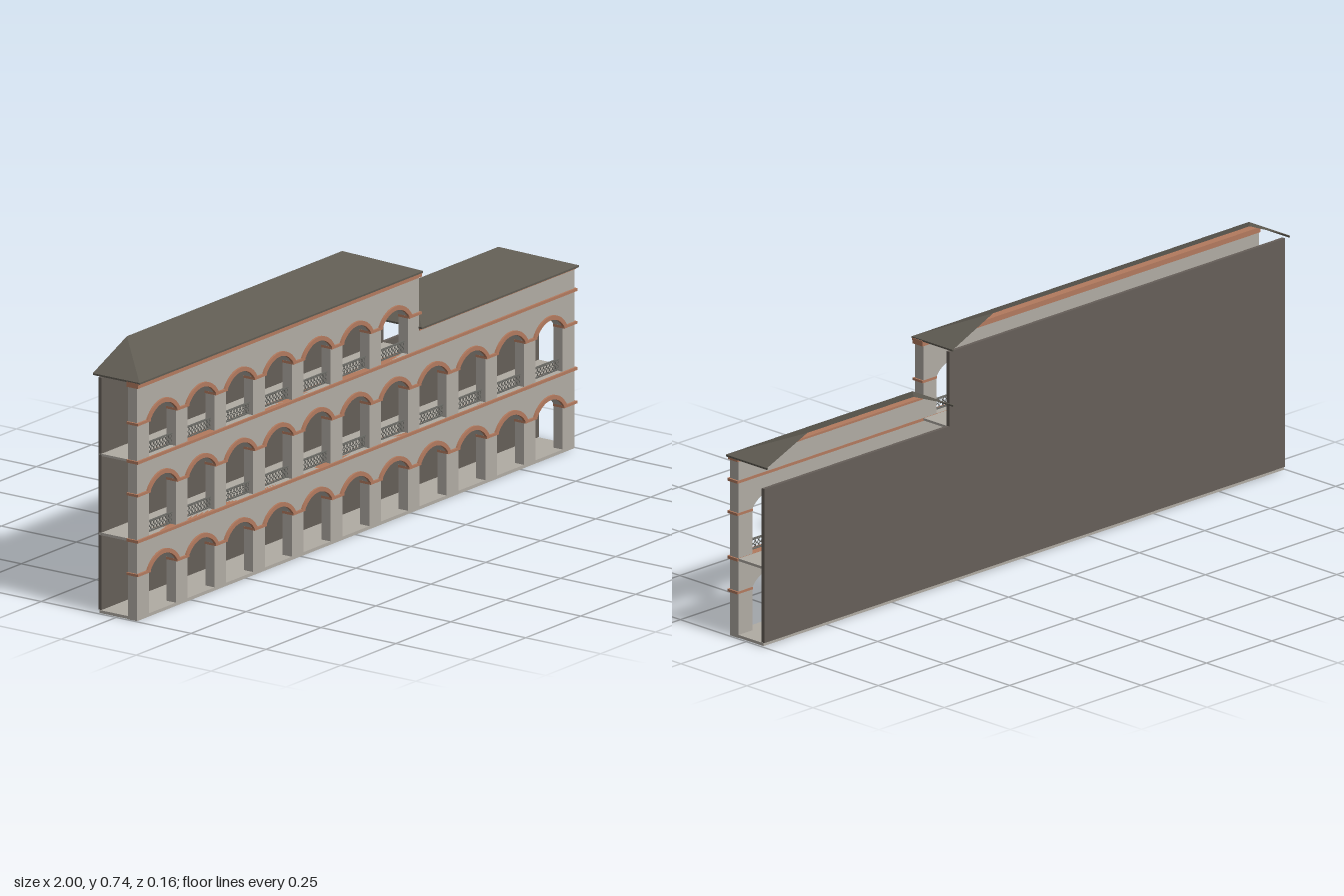
import * as THREE from 'three';
import { mergeGeometries } from 'three/addons/utils/BufferGeometryUtils.js';

const mat = (name, color, side = THREE.FrontSide) => {
  const m = new THREE.MeshStandardMaterial({ color, side });
  m.name = name;
  return m;
};

// Main dimensions
const STEP = 0.288, END = 0.995, PITCH = 0.176, HALF = 0.0615, RISE = 0.033;
const R = (HALF * HALF + RISE * RISE) / (2 * RISE);
const WALL_BACK = 0.035, WALL_FRONT = 0.066, TRIM_FRONT = 0.072;
const STOREYS = [
  { name: 'ground', sill: 0.009, spring: 0.132, count: 11, end: 1, rail: false },
  { name: 'middle', sill: 0.228, spring: 0.356, count: 11, end: 1, rail: true },
  { name: 'upper', sill: 0.45, spring: 0.556, count: 7, end: STEP + 0.004, rail: true },
];
const archX = (i) => (i - 5) * PITCH;

// Box given by its limits on each axis
function box(x0, x1, y0, y1, z0, z1) {
  return new THREE.BoxGeometry(x1 - x0, y1 - y0, z1 - z0)
    .translate((x0 + x1) / 2, (y0 + y1) / 2, (z0 + z1) / 2);
}

function extrude(shape, z0, z1) {
  return new THREE.ExtrudeGeometry(shape, { depth: z1 - z0, bevelEnabled: false, curveSegments: 14 })
    .translate(0, 0, z0);
}

// Outline of a long wall that drops in height at the step
function steppedShape(end, bottom, low, high) {
  return new THREE.Shape([[-end, bottom], [end, bottom], [end, low], [STEP, low], [STEP, high], [-end, high]]
    .map(([x, y]) => new THREE.Vector2(x, y)));
}

// Opening with a segmental arch
function opening(x, sill, spring) {
  const p = new THREE.Path();
  const cy = spring - (R - RISE), a = Math.asin((R - RISE) / R);
  p.moveTo(x - HALF, sill);
  p.lineTo(x + HALF, sill);
  p.lineTo(x + HALF, spring);
  p.absarc(x, cy, R, a, Math.PI - a, false);
  p.lineTo(x - HALF, sill);
  return p;
}

// Raised moulding following the arch
function archTrim(x, spring) {
  const s = new THREE.Shape();
  const cy = spring - (R - RISE), Ro = R + 0.011;
  const ai = Math.asin((R - RISE) / R), ao = Math.asin((R - RISE) / Ro);
  s.absarc(x, cy, Ro, ao, Math.PI - ao, false);
  s.absarc(x, cy, R - 0.001, Math.PI - ai, ai, true);
  s.closePath();
  return extrude(s, WALL_FRONT - 0.002, TRIM_FRONT);
}

// Ornamental balustrade: two bars with two rows of rings
function railing(x, sill) {
  const z = 0.052, parts = [
    box(x - HALF, x + HALF, sill + 0.003, sill + 0.006, z - 0.002, z + 0.002),
    box(x - HALF, x + HALF, sill + 0.032, sill + 0.035, z - 0.003, z + 0.003),
  ];
  const n = 9, w = (2 * HALF) / n;
  for (let i = 0; i < n; i++) {
    for (let j = 0; j < 2; j++) {
      parts.push(new THREE.TorusGeometry(0.0057, 0.0013, 4, 10)
        .translate(x - HALF + w * (i + 0.5), sill + 0.0125 + j * 0.013, z));
    }
  }
  return mergeGeometries(parts);
}

// Lean-to roof with hipped ends, open at the back and below
function hippedRoof(x0, x1, eave, ridge) {
  const zb = -0.078, zf = 0.078, run = 0.155;
  const A = [x0, eave, zb], B = [x0, eave, zf], C = [x1, eave, zf], D = [x1, eave, zb];
  const E = [x0 + run, ridge, zb], F = [x1 - run, ridge, zb];
  const g = new THREE.BufferGeometry();
  g.setAttribute('position', new THREE.Float32BufferAttribute(
    [B, C, F, B, F, E, A, B, E, C, D, F].flat(), 3));
  g.computeVertexNormals();
  return g;
}

function fascia(x0, x1, y0, y1) {
  return mergeGeometries([
    box(x0, x1, y0, y1, 0.074, 0.078),
    box(x0, x0 + 0.004, y0, y1, -0.078, 0.074),
    box(x1 - 0.004, x1, y0, y1, -0.078, 0.074),
  ]);
}

export function createModel() {
  const model = new THREE.Group();
  model.name = 'arcadedBuilding';
  const stone = mat('stone', 0xb0aba3);
  const terracotta = mat('terracotta', 0xb27a5e);
  const roofing = mat('roofing', 0x5f5b52, THREE.DoubleSide);
  const backing = mat('backing', 0x655e58);
  const iron = mat('iron', 0x6a6a65);
  const add = (name, geometry, material, parent = model) => {
    const m = new THREE.Mesh(geometry, material);
    m.name = name;
    parent.add(m);
    return m;
  };

  // Arcaded front wall
  const front = steppedShape(END, 0, 0.509, 0.669);
  for (const s of STOREYS) {
    for (let i = 0; i < s.count; i++) front.holes.push(opening(archX(i), s.sill, s.spring));
  }
  add('frontWall', extrude(front, WALL_BACK, WALL_FRONT), stone);

  // Rear wall
  add('backWall', extrude(steppedShape(END, 0.01, 0.45, 0.663), -0.063, -0.053), backing);

  // Floors
  add('groundFloor', box(-END, END, 0.001, 0.009, -0.06, WALL_BACK + 0.03), stone);
  add('middleFloor', box(-END, END, 0.22, 0.2275, -0.061, WALL_BACK + 0.001), stone);
  add('upperFloor', box(-END, STEP, 0.443, 0.4495, -0.061, WALL_BACK + 0.001), stone);

  // Arch mouldings, impost bands and balustrades of each storey
  for (const s of STOREYS) {
    const storey = new THREE.Group();
    storey.name = s.name + 'Storey';
    model.add(storey);
    let left = -1;
    for (let i = 0; i <= s.count; i++) {
      const last = i === s.count;
      const right = last ? s.end : archX(i) - HALF + 0.001;
      add('impostBand', box(left, right, s.spring - 0.006, s.spring + 0.001, WALL_BACK - 0.001, TRIM_FRONT),
        terracotta, storey);
      if (last) break;
      left = archX(i) + HALF - 0.001;
      add('archMoulding', archTrim(archX(i), s.spring), terracotta, storey);
      if (s.rail) add('balustrade', railing(archX(i), s.sill), iron, storey);
    }
  }

  // Continuous bands and cornices
  const zi = WALL_BACK - 0.001;
  add('middleBand', box(-1, 1, 0.22, 0.228, zi, TRIM_FRONT), terracotta);
  add('upperBand', box(-1, 1, 0.442, 0.45, zi, TRIM_FRONT), terracotta);
  add('lowCornice', box(STEP, 1, 0.504, 0.51, zi, 0.069), terracotta);
  add('highCornice', box(-1, STEP + 0.004, 0.655, 0.664, zi, TRIM_FRONT), terracotta);
  add('highCorniceCap', box(-1, STEP + 0.004, 0.664, 0.67, zi, 0.074), terracotta);

  // Roofs and their eaves boards
  add('highRoof', hippedRoof(-1, 0.29, 0.673, 0.739), roofing);
  add('highFascia', fascia(-1, 0.29, 0.668, 0.673), roofing);
  add('lowRoof', hippedRoof(0.285, 1, 0.515, 0.577), roofing);
  add('lowFascia', fascia(0.285, 1, 0.51, 0.515), roofing);

  return model;
}
